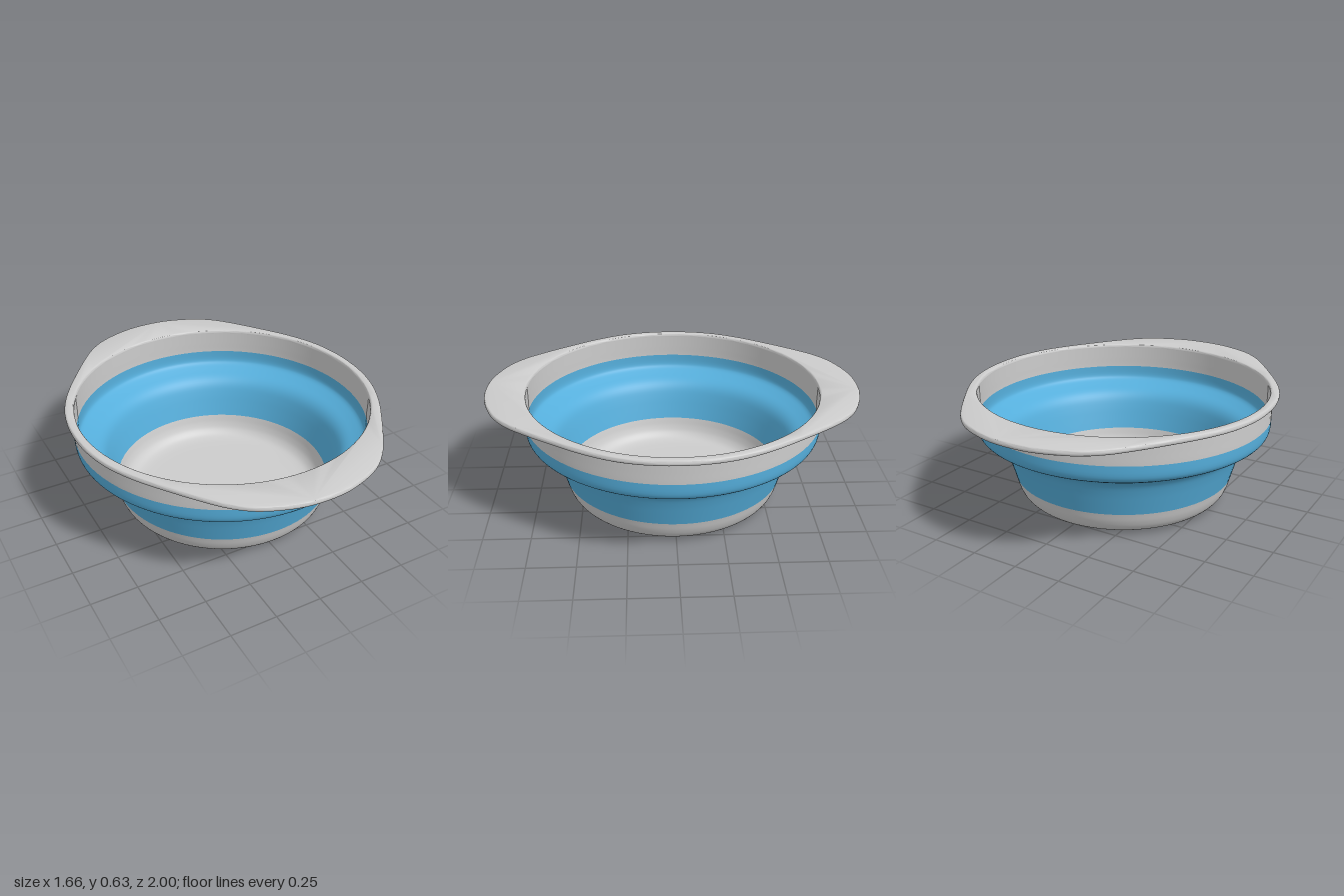
import * as THREE from 'three';
import { toCreasedNormals } from 'three/addons/utils/BufferGeometryUtils.js';

const WALL = 0.015;
const grey = new THREE.MeshStandardMaterial({ color: 0xcccccc });
const blue = new THREE.MeshStandardMaterial({ color: 0x55aedb });

// Outer wall profile (radius, height) from the base edge up to the rim
const outer = new THREE.SplineCurve([
  [0.42, 0.003], [0.49, 0.007], [0.535, 0.02], [0.568, 0.05], [0.588, 0.09],
  [0.602, 0.14], [0.622, 0.21], [0.64, 0.27], [0.66, 0.32], [0.69, 0.352],
  [0.74, 0.378], [0.78, 0.402], [0.797, 0.432], [0.8, 0.49], [0.8, 0.55], [0.8, 0.615],
].map(([r, y]) => new THREE.Vector2(r, y)));

// Part of the wall between two heights, with its inner skin offset along the normal
function wallBand(name, yMin, yMax, material, closed) {
  const group = new THREE.Group();
  group.name = name;
  const outside = [], inside = [];
  const heightParam = (y) => {
    let lo = 0, hi = 1;
    for (let i = 0; i < 30; i++) {
      const mid = (lo + hi) / 2;
      if (outer.getPoint(mid).y < y) lo = mid; else hi = mid;
    }
    return lo;
  };
  const t0 = closed ? 0 : heightParam(yMin);
  const t1 = heightParam(yMax);
  for (let i = 0; i <= 28; i++) {
    const t = t0 + (t1 - t0) * i / 28;
    const p = outer.getPoint(t);
    const d = outer.getTangent(t);
    outside.push(p);
    inside.unshift(new THREE.Vector2(p.x - d.y * WALL, p.y + d.x * WALL));
  }
  if (closed) {
    outside.unshift(new THREE.Vector2(0, 0), new THREE.Vector2(0.38, 0));
    inside.push(new THREE.Vector2(0, 0.016));
  }
  for (const [label, points] of [['Outside', outside], ['Inside', inside]]) {
    const mesh = new THREE.Mesh(new THREE.LatheGeometry(points, 96), material);
    mesh.name = name + label;
    group.add(mesh);
  }
  return group;
}

// Flat rim with a round opening, widened front and back into handles
function makeRim() {
  const quarter = [[0.83, 0], [0.82, 0.14], [0.782, 0.29], [0.71, 0.44], [0.605, 0.6],
    [0.5, 0.745], [0.42, 0.84], [0.33, 0.912], [0.22, 0.962], [0.11, 0.992], [0, 1]];
  const half = [...quarter, ...quarter.slice(0, -1).reverse().map(([x, z]) => [-x, z])];
  const loop = [...half, ...half.slice(1, -1).reverse().map(([x, z]) => [x, -z])];
  const curve = new THREE.CatmullRomCurve3(
    loop.map(([x, z]) => new THREE.Vector3(x, z, 0)), true);
  const shape = new THREE.Shape(
    curve.getPoints(120).slice(0, -1).map((p) => new THREE.Vector2(p.x, p.y)));
  shape.holes.push(new THREE.Path().absarc(0, 0, 0.785, 0, Math.PI * 2, true));
  const geometry = new THREE.ExtrudeGeometry(shape, {
    depth: 0.006, bevelThickness: 0.012, bevelSize: 0.012, bevelOffset: -0.012,
    bevelSegments: 4, curveSegments: 48,
  });
  geometry.rotateX(-Math.PI / 2);
  geometry.translate(0, 0.614, 0);
  const rim = new THREE.Mesh(toCreasedNormals(geometry, 0.6), grey);
  rim.name = 'rimWithHandles';
  return rim;
}

export function createModel() {
  const model = new THREE.Group();
  model.name = 'collapsibleBowl';
  model.add(
    wallBand('base', 0, 0.14, grey, true),
    wallBand('flexibleWall', 0.14, 0.49, blue, false),
    wallBand('collar', 0.49, 0.614, grey, false),
    makeRim(),
  );
  return model;
}
